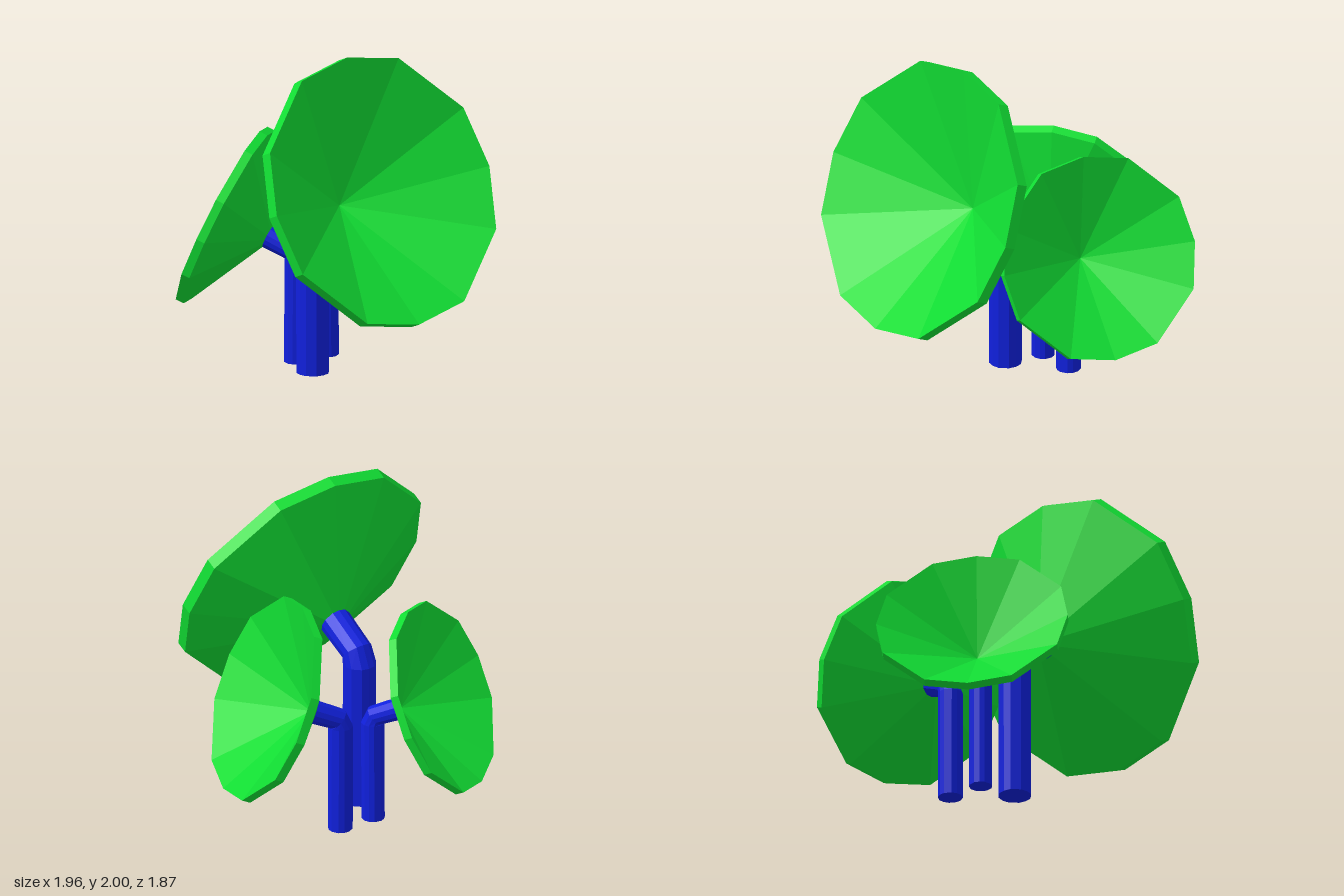
import * as THREE from 'three';

const RAD = Math.PI / 180;

// Twelve-sided outline shared by pipes and funnels, [up, side] per quarter turn
const QUARTER = [[1, 0], [0.91, 0.455], [0.455, 0.91]];
const OUTLINE = [];
for (let q = 0; q < 4; q++) {
  for (const [u, s] of QUARTER) {
    const c = [1, 0, -1, 0][q], d = [0, 1, 0, -1][q];
    OUTLINE.push([u * c - s * d, u * d + s * c]);
  }
}

// Skin a series of rings [x, y, tilt in degrees, radius] lying along the xy plane
function loft(rings) {
  const n = OUTLINE.length;
  const points = rings.map(([x, y, tilt, r]) => OUTLINE.map(([u, s]) => [
    x - Math.sin(tilt * RAD) * u * r,
    y + Math.cos(tilt * RAD) * u * r,
    s * r,
  ]));
  const pos = [];
  for (let i = 0; i < rings.length - 1; i++) {
    for (let j = 0; j < n; j++) {
      const k = (j + 1) % n;
      const a = points[i][j], b = points[i][k], c = points[i + 1][k], d = points[i + 1][j];
      if (rings[i][3] > 0) pos.push(...a, ...b, ...c);
      if (rings[i + 1][3] > 0) pos.push(...a, ...c, ...d);
    }
  }
  const g = new THREE.BufferGeometry();
  g.setAttribute('position', new THREE.Float32BufferAttribute(pos, 3));
  g.computeVertexNormals();
  return g;
}

export function createModel() {
  const model = new THREE.Group();
  model.name = 'hornCluster';
  const blue = new THREE.MeshStandardMaterial({ color: 0x1020dd, flatShading: true });
  const green = new THREE.MeshStandardMaterial({ color: 0x11dd33, flatShading: true });

  // Upright pipe with a bend at the top
  const tilt = 24, throat = [0.245, 1.077], r = 0.0975;
  const pipeGeometry = loft([
    [0, 0, 90, 0],
    [0, 0, 90, r],
    [-0.003, 0.905, 90, r],
    [0.025, 0.972, 45, 0.092],
    [...throat, tilt, 0.095],
  ]);

  // Funnel: outer cone, rim band, then the inner cone back to the throat
  const along = (t, radius) => [
    throat[0] + Math.cos(tilt * RAD) * t,
    throat[1] + Math.sin(tilt * RAD) * t,
    tilt, radius,
  ];
  const funnelGeometry = loft([
    along(0, 0.095),
    along(0.365, 0.815),
    along(0.44, 0.815),
    along(0, 0),
  ]);

  // The same horn in three sizes, each turned outward
  const horns = [
    { name: 'largeHorn', x: 0, z: 0.12, scale: 1, turn: 0 },
    { name: 'frontHorn', x: -0.233, z: 0.057, scale: 0.697, turn: 215 },
    { name: 'backHorn', x: -0.235, z: -0.18, scale: 0.745, turn: 74 },
  ];
  for (const h of horns) {
    const horn = new THREE.Group();
    horn.name = h.name;
    const pipe = new THREE.Mesh(pipeGeometry, blue);
    pipe.name = 'pipe';
    const funnel = new THREE.Mesh(funnelGeometry, green);
    funnel.name = 'funnel';
    horn.add(pipe, funnel);
    horn.position.set(h.x, 0, h.z);
    horn.rotation.y = h.turn * RAD;
    horn.scale.setScalar(h.scale);
    model.add(horn);
  }
  return model;
}
